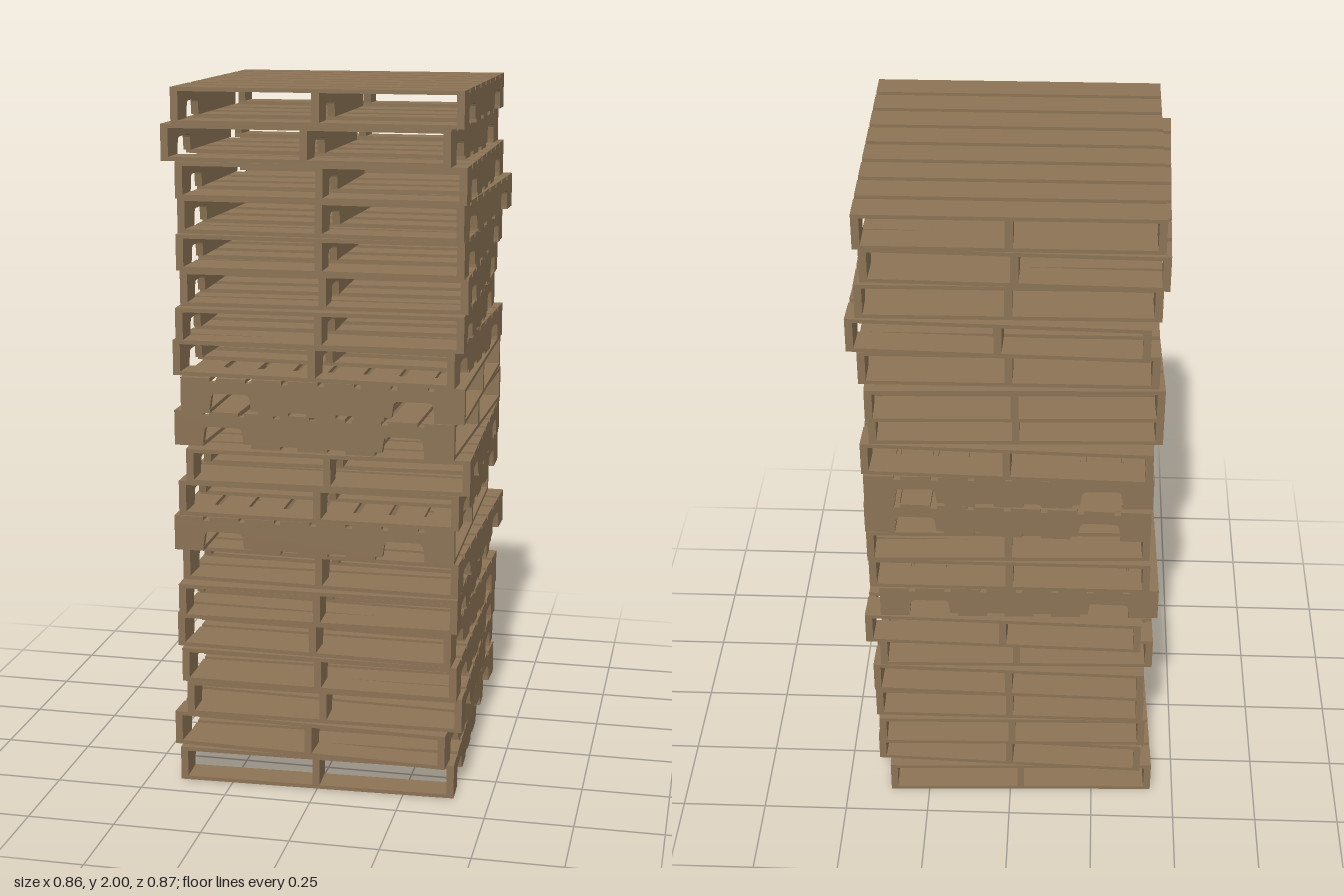
import * as THREE from 'three';

const SIZE = 0.8, HEIGHT = 0.1, BOARD = 0.011, STRINGER = 0.021;

// Side outline of a stringer with two rounded fork notches
function stringerGeometry() {
  const h = SIZE / 2, y0 = BOARD, y1 = HEIGHT - BOARD, top = 0.057, r = 0.018;
  const s = new THREE.Shape();
  s.moveTo(-h, y0);
  for (const [a, b] of [[-0.317, -0.198], [0.198, 0.317]]) {
    s.lineTo(a, y0);
    s.lineTo(a + 0.004, top - r);
    s.quadraticCurveTo(a + 0.005, top, a + r, top);
    s.lineTo(b - r, top);
    s.quadraticCurveTo(b - 0.005, top, b - 0.004, top - r);
    s.lineTo(b, y0);
  }
  s.lineTo(h, y0);
  s.lineTo(h, y1);
  s.lineTo(-h, y1);
  s.closePath();
  const g = new THREE.ExtrudeGeometry(s, { depth: STRINGER, bevelEnabled: false, curveSegments: 4 });
  g.translate(0, 0, -STRINGER / 2);
  g.rotateY(-Math.PI / 2);
  return g;
}

export function createModel() {
  const wood = new THREE.MeshStandardMaterial({ color: 0x8b7355 });
  wood.name = 'wood';

  const boardWidth = 0.084;
  const boardGeo = new THREE.BoxGeometry(SIZE, BOARD, boardWidth);
  const stringerGeo = stringerGeometry();

  function add(parent, name, geo, x, y, z) {
    const m = new THREE.Mesh(geo, wood);
    m.name = name;
    m.position.set(x, y, z);
    parent.add(m);
  }

  function makePallet() {
    const p = new THREE.Group();
    p.name = 'pallet';
    const edge = (SIZE - boardWidth) / 2;
    // Eight deck boards
    for (let i = 0; i < 8; i++) {
      add(p, 'deckBoard', boardGeo, 0, HEIGHT - BOARD / 2, -edge + (i * 2 * edge) / 7);
    }
    // Five bottom boards, clear of the notches
    for (const z of [-edge, -0.135, 0, 0.135, edge]) {
      add(p, 'bottomBoard', boardGeo, 0, BOARD / 2, z);
    }
    // Three notched stringers
    const sx = (SIZE - STRINGER) / 2;
    for (const x of [-sx, 0, sx]) add(p, 'stringer', stringerGeo, x, 0, 0);
    return p;
  }

  // Each pallet from the ground up: x, z, turn, quarter turns
  const stack = [
    [-0.018, 0.003, 0.036, 0],
    [-0.011, 0.008, -0.036, 0],
    [0.005, -0.006, 0.027, 0],
    [0.002, 0.002, 0, 0],
    [-0.005, -0.008, -0.025, 0],
    [-0.008, 0.013, 0.025, 0],
    [0.011, -0.018, -0.024, 0],
    [-0.018, 0.003, 0.02, 1],
    [0.002, 0.002, 0, 0],
    [0.018, 0.01, 0.034, 0],
    [-0.003, -0.008, -0.025, 1],
    [0.008, -0.003, 0.012, 1],
    [-0.003, -0.01, -0.03, 0],
    [-0.003, 0.018, 0.033, 0],
    [0, -0.021, 0.036, 0],
    [0.005, 0, 0.006, 0],
    [0.018, -0.013, -0.032, 0],
    [0.008, 0.011, 0.012, 0],
    [-0.021, 0.011, -0.022, 0],
    [0.003, 0.015, 0.003, 0],
  ];

  const model = new THREE.Group();
  model.name = 'palletStack';
  stack.forEach(([x, z, turn, quarter], i) => {
    const p = makePallet();
    p.position.set(x, i * HEIGHT, z);
    p.rotation.y = turn + (quarter * Math.PI) / 2;
    model.add(p);
  });
  return model;
}
